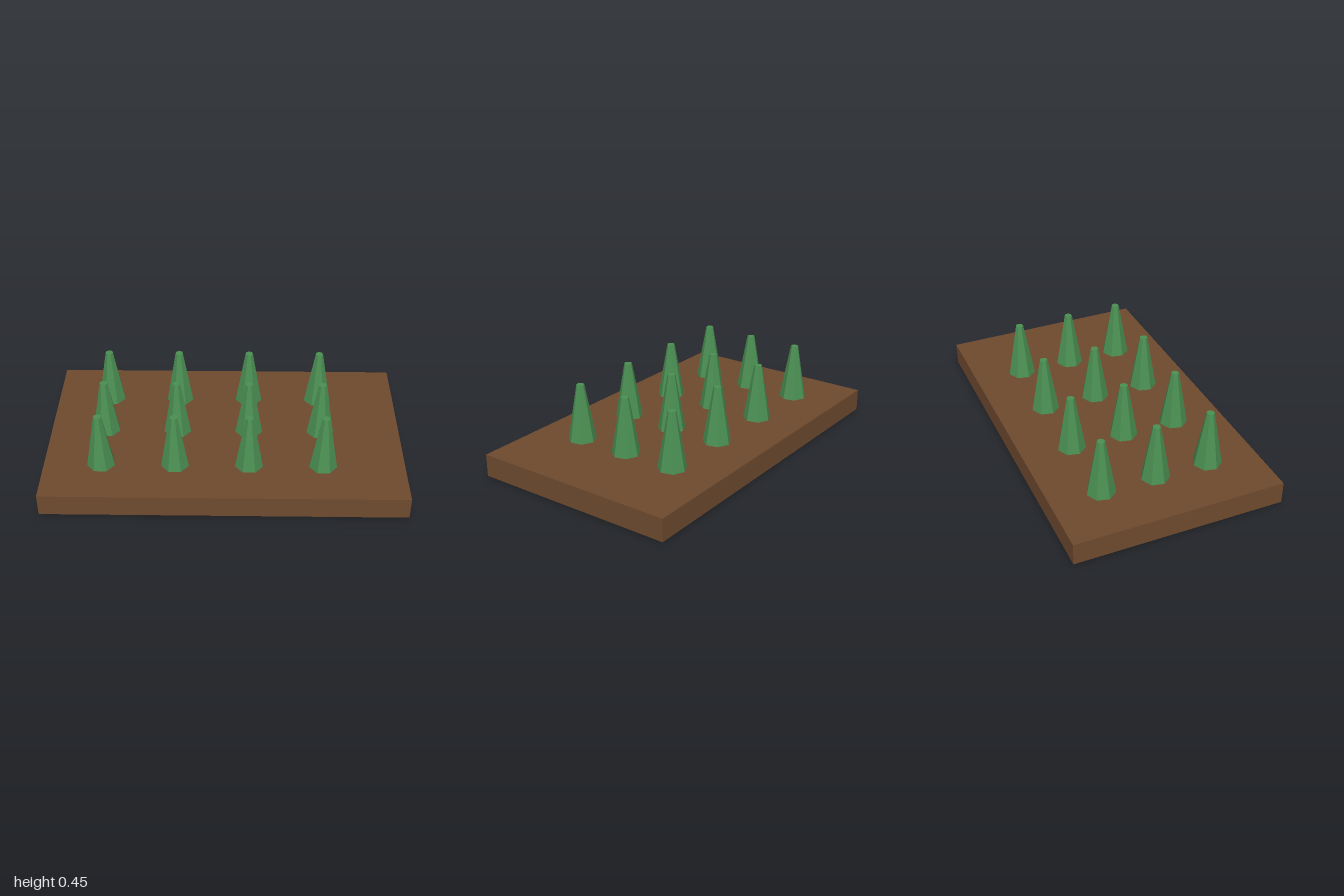
import * as THREE from 'three';

export function createModel() {
  const model = new THREE.Group();
  model.name = 'plantedBed';

  const soil = new THREE.MeshStandardMaterial({ color: 0x6e4a2e });
  soil.name = 'soil brown';
  const leaf = new THREE.MeshStandardMaterial({ color: 0x4a8f52 });
  leaf.name = 'leaf green';
  leaf.flatShading = true;

  // Flat slab of soil
  const bedHeight = 0.127;
  const bed = new THREE.Mesh(new THREE.BoxGeometry(2, bedHeight, 1.182), soil);
  bed.name = 'soilBed';
  bed.position.y = bedHeight / 2;
  model.add(bed);

  // Seven-sided tapered plants, a corner pointing to the back
  const plantHeight = 0.323;
  const plantGeometry = new THREE.CylinderGeometry(0.022, 0.079, plantHeight, 7);
  plantGeometry.rotateY(Math.PI);
  plantGeometry.translate(0, bedHeight + plantHeight / 2, 0);

  // Three rows of four, set slightly towards the right end
  const plants = new THREE.Group();
  plants.name = 'plants';
  for (let row = 0; row < 3; row++) {
    for (let col = 0; col < 4; col++) {
      const plant = new THREE.Mesh(plantGeometry, leaf);
      plant.name = `plantRow${row + 1}Number${col + 1}`;
      plant.position.set(-0.682 + col * 0.409, 0, (row - 1) * 0.309);
      plants.add(plant);
    }
  }
  model.add(plants);

  return model;
}
